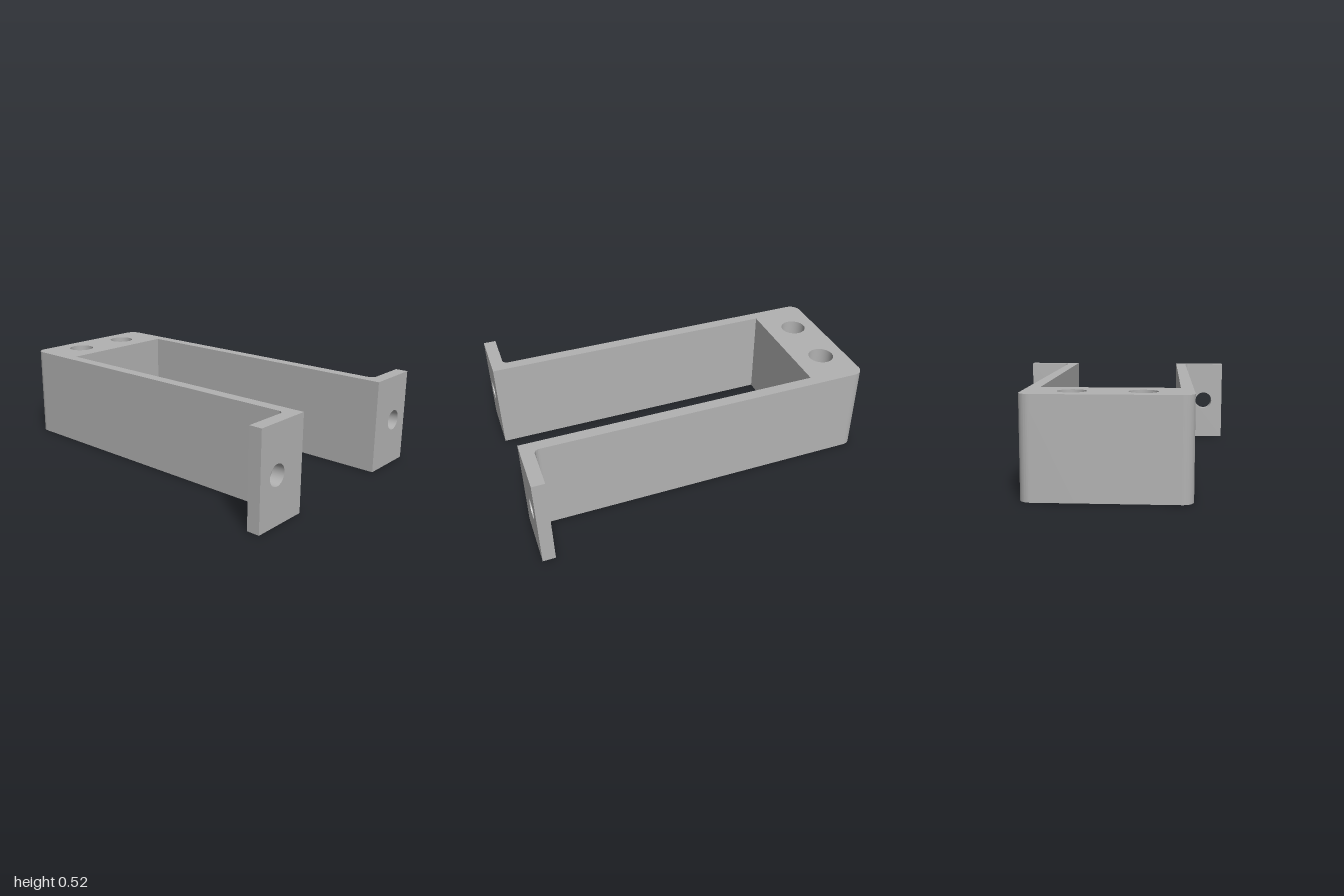
import * as THREE from 'three';
import { toCreasedNormals } from 'three/addons/utils/BufferGeometryUtils.js';

const HEIGHT = 0.522;
const INNER = 0.356, OUTER = 0.42;       // half widths of the U
const FRONT = 1, FLANGE_BACK = 0.93;     // flange thickness along z
const SEAM = 0.46, TIP = 0.683;          // flange plate from seam to tip
const CORNER = 0.06, FILLET = 0.03;
const SOCKET = { x: 0.174, z: -0.855, r: 0.073, floor: 0.1 };

const extrude = (shape, depth) => toCreasedNormals(
  new THREE.ExtrudeGeometry(shape, { depth, bevelEnabled: false, curveSegments: 16 }), 0.5);

const circle = (x, y, r) => new THREE.Path().absarc(x, y, r, 0, Math.PI * 2, true);

// Plan of the U-shaped body, drawn with shape y = -z
function bodyShape() {
  const s = new THREE.Shape();
  const P = Math.PI;
  s.moveTo(INNER, -FRONT);
  s.lineTo(SEAM, -FRONT);
  s.lineTo(SEAM, -FLANGE_BACK);
  s.absarc(OUTER + FILLET, -FLANGE_BACK + FILLET, FILLET, -P / 2, -P, true);
  s.absarc(OUTER - CORNER, 1 - CORNER, CORNER, 0, P / 2, false);
  s.absarc(-OUTER + CORNER, 1 - CORNER, CORNER, P / 2, P, false);
  s.absarc(-OUTER - FILLET, -FLANGE_BACK + FILLET, FILLET, 0, -P / 2, true);
  s.lineTo(-SEAM, -FLANGE_BACK);
  s.lineTo(-SEAM, -FRONT);
  s.lineTo(-INNER, -FRONT);
  s.lineTo(-INNER, 0.685);
  s.lineTo(INNER, 0.685);
  s.closePath();
  for (const side of [-1, 1]) s.holes.push(circle(side * SOCKET.x, -SOCKET.z, SOCKET.r));
  return s;
}

// Flange plate with a screw hole, facing the front
function flangeShape(side) {
  const [a, b] = side > 0 ? [SEAM, TIP] : [-TIP, -SEAM];
  const s = new THREE.Shape();
  s.moveTo(a, 0);
  s.lineTo(b, 0);
  s.lineTo(b, HEIGHT);
  s.lineTo(a, HEIGHT);
  s.closePath();
  s.holes.push(circle(side * 0.554, HEIGHT / 2, 0.057));
  return s;
}

export function createModel() {
  const model = new THREE.Group();
  model.name = 'bracket';
  const grey = new THREE.MeshStandardMaterial({ color: 0xb2b2b2 });
  grey.name = 'grey';

  const add = (name, geometry) => {
    const mesh = new THREE.Mesh(geometry, grey);
    mesh.name = name;
    model.add(mesh);
    return mesh;
  };

  add('body', extrude(bodyShape(), HEIGHT).rotateX(-Math.PI / 2));

  for (const side of [-1, 1]) {
    const label = side > 0 ? 'left' : 'right';
    const flange = add(label + 'Flange', extrude(flangeShape(side), FRONT - FLANGE_BACK));
    flange.position.z = FLANGE_BACK;

    // Closed floor of the blind socket
    const floor = add(label + 'SocketFloor',
      new THREE.CylinderGeometry(SOCKET.r, SOCKET.r, SOCKET.floor, 32));
    floor.position.set(side * SOCKET.x, SOCKET.floor / 2, SOCKET.z);
  }
  return model;
}
